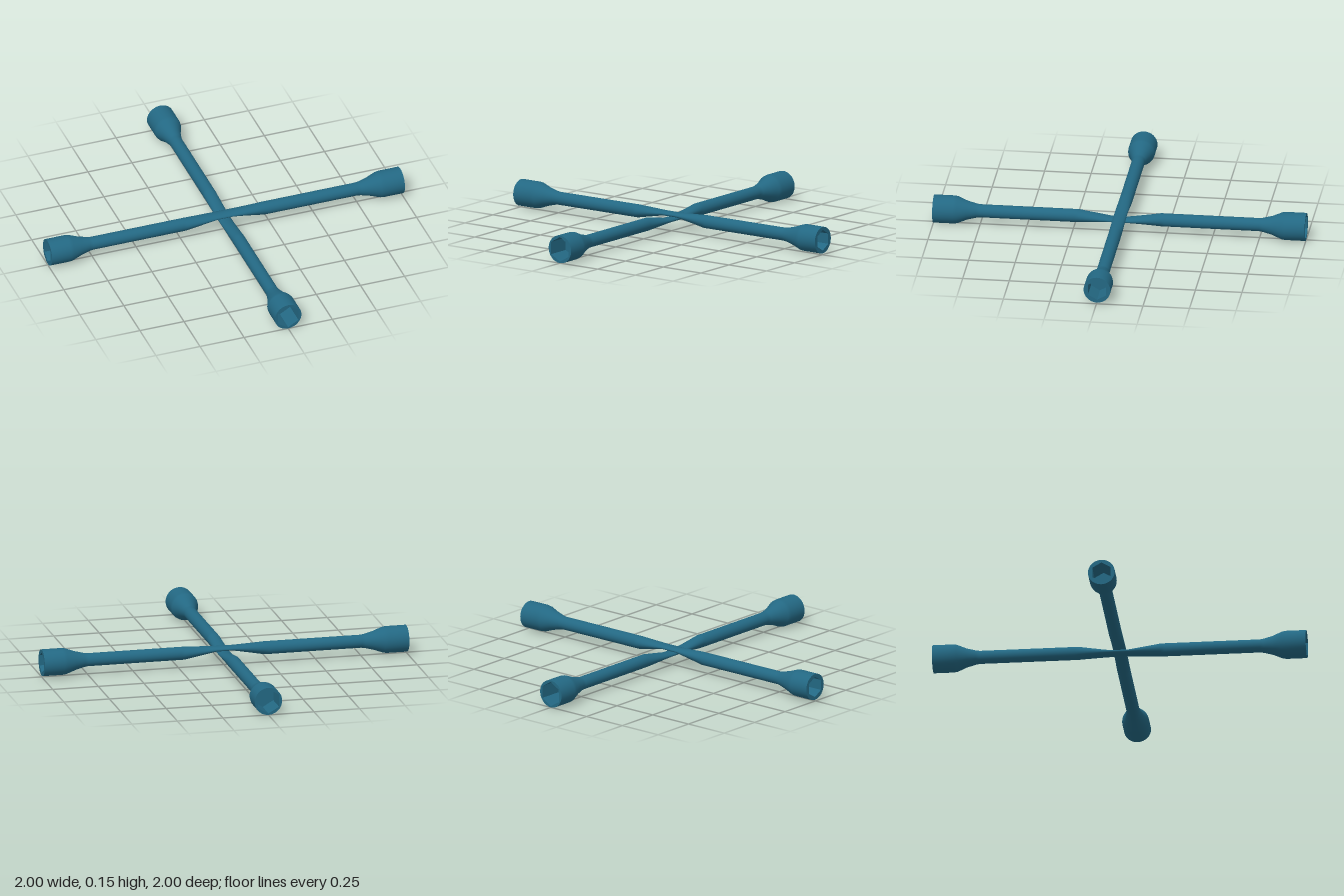
import * as THREE from 'three';

const steel = new THREE.MeshStandardMaterial({ color: 0x236883 });
steel.name = 'blueSteel';

const SIDES = 32;
const DEPTH = 0.13; // depth of the hex recess

// Loft elliptical rings [z, centreY, radiusX, radiusY] along z
function loft(rings) {
  const pos = [], index = [];
  rings.forEach(([z, cy, rx, ry], i) => {
    for (let j = 0; j < SIDES; j++) {
      const a = (j / SIDES) * Math.PI * 2;
      pos.push(Math.cos(a) * rx, cy + Math.sin(a) * ry, z);
      if (i === 0) continue;
      const k = (j + 1) % SIDES, lo = (i - 1) * SIDES, hi = i * SIDES;
      index.push(lo + j, lo + k, hi + j, lo + k, hi + k, hi + j);
    }
  });
  const g = new THREE.BufferGeometry();
  g.setAttribute('position', new THREE.Float32BufferAttribute(pos, 3));
  g.setIndex(index);
  g.computeVertexNormals();
  return g;
}

function polygon(n, r, start = 0) {
  return Array.from({ length: n }, (_, i) => {
    const a = start + (i / n) * Math.PI * 2;
    return new THREE.Vector2(Math.cos(a) * r, Math.sin(a) * r);
  });
}

// Rim face, hex walls and hex floor of one socket, opening towards +z
function socketEnd(name, radius, hexRadius) {
  const group = new THREE.Group();
  group.name = name;
  const add = (part, geometry) => {
    const mesh = new THREE.Mesh(geometry, steel);
    mesh.name = part;
    group.add(mesh);
  };
  const rim = new THREE.Shape(polygon(SIDES, radius));
  rim.holes.push(new THREE.Path(polygon(6, hexRadius, Math.PI / 2)));
  add('socketRim', new THREE.ShapeGeometry(rim).translate(0, 0, 1));

  // mirrored so the walls face inwards
  const walls = new THREE.CylinderGeometry(hexRadius, hexRadius, DEPTH, 6, 1, true)
    .toNonIndexed().rotateX(Math.PI / 2).scale(-1, 1, 1).translate(0, 0, 1 - DEPTH / 2);
  walls.computeVertexNormals();
  add('hexWalls', walls);
  add('hexFloor', new THREE.CircleGeometry(hexRadius, 6, Math.PI / 2).translate(0, 0, 1 - DEPTH));
  return group;
}

// One full bar along z: pressed flat at the middle, a socket at each end
function bar(name, radius, hexRadius, midY) {
  const group = new THREE.Group();
  group.name = name;
  const r = 0.035;
  const half = [
    [0.045, midY, r, 0.0125],
    [0.22, 0, r, r],
    [0.24, 0, r, r],
    [0.75, 0, r, r],
    [0.77, 0, r + 0.003, r + 0.003],
    [0.82, 0, 0.051, 0.051],
    [0.87, 0, radius - 0.003, radius - 0.003],
    [0.89, 0, radius, radius],
    [1, 0, radius, radius],
  ];
  const rings = [...half.map(([z, ...rest]) => [-z, ...rest]).reverse(), ...half];
  const shaft = new THREE.Mesh(loft(rings), steel);
  shaft.name = 'shaft';
  group.add(shaft);

  const front = socketEnd('socketA', radius, hexRadius);
  const back = socketEnd('socketB', radius, hexRadius);
  back.rotation.y = Math.PI;
  group.add(front, back);
  return group;
}

export function createModel() {
  const model = new THREE.Group();
  model.name = 'crossWrench';

  // lower bar, front to back
  const lower = bar('lowerBar', 0.075, 0.067, -0.0095);
  lower.position.y = 0.075;

  // upper bar, side to side
  const upper = bar('upperBar', 0.072, 0.056, 0.0125);
  upper.rotation.y = Math.PI / 2;
  upper.position.set(0, 0.079, -0.003);

  model.add(lower, upper);
  return model;
}
